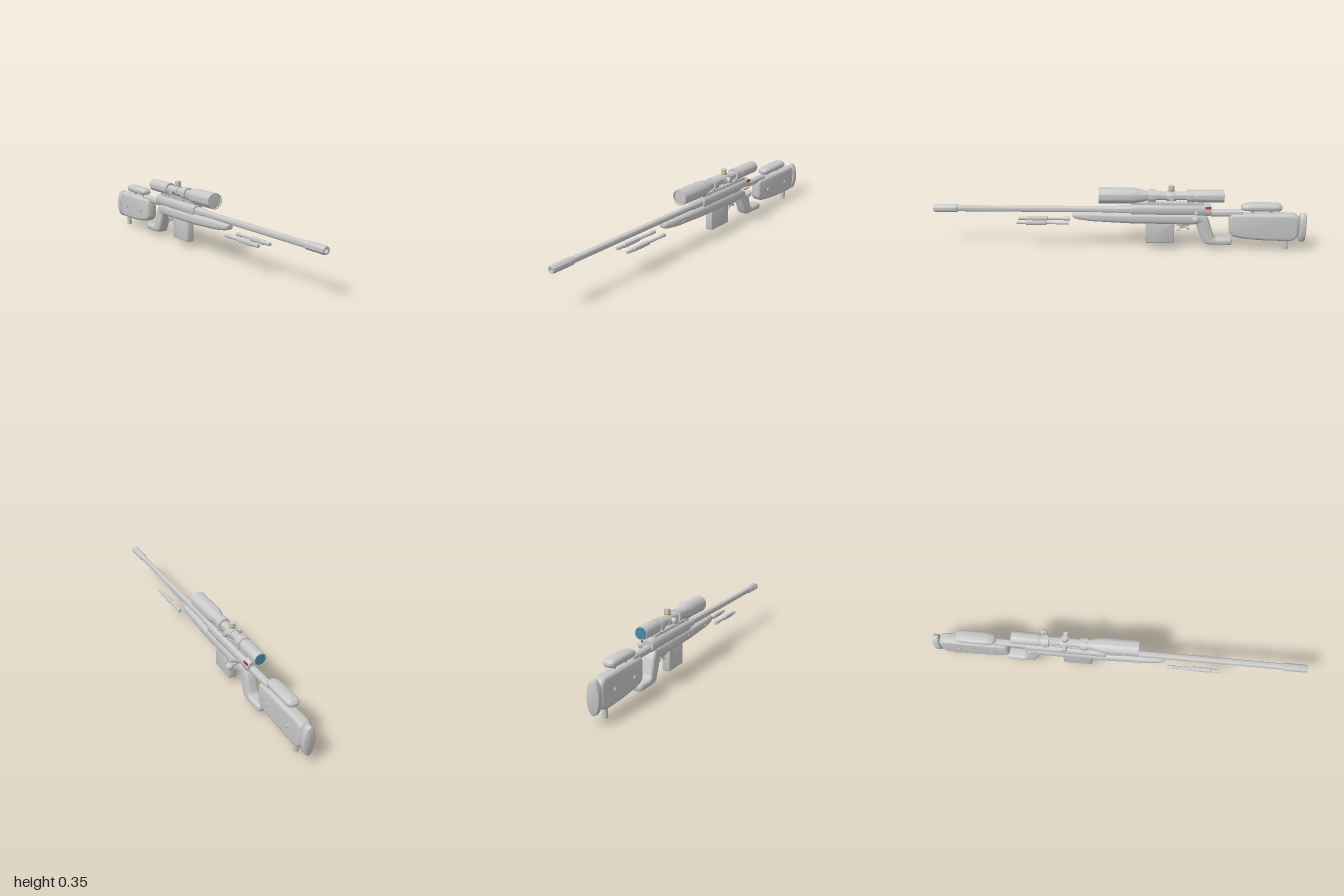
import * as THREE from 'three';
import { toCreasedNormals } from 'three/addons/utils/BufferGeometryUtils.js';

const CX = -0.026; // centre plane of the rifle

export function createModel() {
  const model = new THREE.Group();
  const mat = (name, color, side = THREE.FrontSide) => {
    const m = new THREE.MeshStandardMaterial({ color, side });
    m.name = name;
    return m;
  };
  const grey = mat('body grey', 0xc8c8c8);
  const teal = mat('lens teal', 0x4a8aa2);
  const red = mat('safety red', 0xc03a3a);
  const gold = mat('brass', 0xc8a850);

  const add = (name, geo, material = grey, x = 0, y = 0, z = 0) => {
    const mesh = new THREE.Mesh(toCreasedNormals(geo, 0.6), material);
    mesh.name = name;
    mesh.position.set(CX + x, y, z);
    model.add(mesh);
    return mesh;
  };

  // Turned part along z; profile is [radius, z] from back to front
  const turned = (name, profile, y, material = grey, x = 0) => {
    const geo = new THREE.LatheGeometry(profile.map(p => new THREE.Vector2(p[0], p[1])), 32);
    return add(name, geo.rotateX(Math.PI / 2), material, x, y);
  };

  // Side outline of [z, y, cornerRadius], extruded across x with rounded edges
  const slab = (name, pts, halfWidth, bevel, material = grey) => {
    const shape = new THREE.Shape();
    pts.forEach((p, i) => {
      const cur = new THREE.Vector2(p[0], p[1]);
      const step = q => {
        const d = new THREE.Vector2(q[0], q[1]).sub(cur);
        return cur.clone().addScaledVector(d.clone().normalize(), Math.min(p[2], d.length() * 0.48));
      };
      const a = step(pts[(i + pts.length - 1) % pts.length]);
      const b = step(pts[(i + 1) % pts.length]);
      if (i) shape.lineTo(a.x, a.y); else shape.moveTo(a.x, a.y);
      shape.quadraticCurveTo(cur.x, cur.y, b.x, b.y);
    });
    const depth = 2 * (halfWidth - bevel);
    const geo = new THREE.ExtrudeGeometry(shape, {
      depth, bevelEnabled: true, bevelSize: bevel, bevelThickness: bevel,
      bevelOffset: -bevel, bevelSegments: 5, curveSegments: 6,
    });
    return add(name, geo.translate(0, 0, -depth / 2).rotateY(-Math.PI / 2), material);
  };

  // Loft of rounded sections [z, bottom, top, halfWidth], front to back
  const loft = (name, sections, power = 3) => {
    const n = 28, pos = [], idx = [];
    const bend = v => Math.sign(v) * Math.pow(Math.abs(v), 2 / power);
    for (const [z, y0, y1, w] of sections)
      for (let j = 0; j < n; j++) {
        const t = (j / n) * Math.PI * 2;
        pos.push(w * bend(Math.cos(t)), (y0 + y1) / 2 + ((y1 - y0) / 2) * bend(Math.sin(t)), z);
      }
    const last = (sections.length - 1) * n;
    for (let i = 0; i < last; i += n)
      for (let j = 0; j < n; j++) {
        const k = (j + 1) % n;
        idx.push(i + j, i + n + j, i + k, i + k, i + n + j, i + n + k);
      }
    for (let j = 1; j < n - 1; j++) idx.push(0, j, j + 1, last, last + j + 1, last + j);
    const geo = new THREE.BufferGeometry();
    geo.setAttribute('position', new THREE.Float32BufferAttribute(pos, 3));
    geo.setIndex(idx);
    return add(name, geo);
  };

  const box = (name, w, h, d, x, y, z, material) =>
    add(name, new THREE.BoxGeometry(w, h, d), material, x, y, z);
  const pin = (name, r, len, x, y, z, material) => // cylinder across x
    add(name, new THREE.CylinderGeometry(r, r, len, 20).rotateZ(Math.PI / 2), material, x, y, z);
  const post = (name, r, len, y, z, material) => // upright cylinder
    add(name, new THREE.CylinderGeometry(r, r, len, 24), material, 0, y, z);

  // Barrel with muzzle brake and bore
  turned('barrel', [[0, -0.1], [0.023, -0.1], [0.023, 0.0], [0.0175, 0.03], [0.0165, 0.86], [0.0165, 0.87],
    [0.021, 0.875], [0.021, 0.99], [0.018, 1], [0.01, 1], [0.01, 0.95], [0, 0.95]], 0.218);
  for (const s of [-1, 1])
    for (const z of [0.9, 0.93, 0.96]) pin('muzzlePort', 0.006, 0.002, s * 0.0208, 0.218, z);

  // Receiver, tail tube and rail
  loft('receiver', [[-0.06, 0.19, 0.248, 0.029], [-0.065, 0.187, 0.252, 0.033],
    [-0.48, 0.187, 0.252, 0.033], [-0.49, 0.192, 0.246, 0.028]], 2.6);
  turned('tailTube', [[0, -0.66], [0.02, -0.66], [0.02, -0.49], [0, -0.49]], 0.203);
  box('rail', 0.036, 0.01, 0.385, 0, 0.253, -0.2575);
  for (let i = 0; i < 20; i++) box('railTooth', 0.04, 0.007, 0.01, 0, 0.2605, -0.07 - i * 0.0195);
  box('safety', 0.006, 0.012, 0.032, 0.032, 0.238, -0.473, red);

  // Bolt handle and knob
  const handle = add('boltHandle', new THREE.CylinderGeometry(0.008, 0.006, 0.062, 16), grey, 0.052, 0.215, -0.405);
  handle.rotation.z = -1.13;
  add('boltKnob', new THREE.SphereGeometry(0.019, 24, 16), grey, 0.081, 0.191, -0.403);
  pin('boltStem', 0.006, 0.04, 0.05, 0.2, -0.403);

  // Fore-end stock
  loft('foreEnd', [[0.252, 0.18, 0.196, 0.015], [0.245, 0.171, 0.201, 0.022], [0.22, 0.164, 0.204, 0.028],
    [0.15, 0.155, 0.205, 0.033], [-0.05, 0.145, 0.205, 0.036], [-0.38, 0.141, 0.205, 0.036],
    [-0.43, 0.143, 0.203, 0.034], [-0.46, 0.155, 0.198, 0.028]], 3.2);
  for (const s of [-1, 1])
    for (const z of [0.12, -0.1, -0.32]) pin('stockScrew', 0.006, 0.006, s * 0.035, 0.176, z);

  // Magazine
  slab('magazine', [[-0.14, 0.16, 0.004], [-0.295, 0.16, 0.004], [-0.295, 0.033, 0.006], [-0.14, 0.033, 0.006]], 0.023, 0.008);

  // Trigger group
  slab('triggerHousing', [[-0.3, 0.145, 0.003], [-0.38, 0.145, 0.003], [-0.375, 0.128, 0.003], [-0.31, 0.128, 0.003]], 0.012, 0.003);
  slab('trigger', [[-0.325, 0.13, 0.003], [-0.343, 0.13, 0.003], [-0.338, 0.116, 0.004], [-0.305, 0.104, 0.003],
    [-0.308, 0.098, 0.003], [-0.335, 0.104, 0.006]].reverse(), 0.006, 0.002);
  slab('triggerFinger', [[-0.34, 0.13, 0.002], [-0.35, 0.13, 0.002], [-0.378, 0.112, 0.002], [-0.372, 0.105, 0.002]], 0.006, 0.002);
  pin('triggerPin', 0.005, 0.02, 0, 0.122, -0.345, gold);

  // Pistol grip with rearward foot
  slab('pistolGrip', [[-0.39, 0.18, 0.02], [-0.41, 0.14, 0.02], [-0.435, 0.078, 0.03], [-0.458, 0.028, 0.03],
    [-0.607, 0.026, 0.012], [-0.607, 0.062, 0.012], [-0.51, 0.062, 0.02], [-0.48, 0.165, 0.03],
    [-0.455, 0.195, 0.02]], 0.031, 0.0145);

  // Butt stock, bolts, monopod, pad
  slab('buttStock', [[-0.588, 0.203, 0.03], [-0.588, 0.08, 0.035], [-0.66, 0.062, 0.05], [-0.78, 0.052, 0.05],
    [-0.955, 0.05, 0.045], [-0.966, 0.13, 0.06], [-0.96, 0.203, 0.045]], 0.031, 0.018);
  for (const z of [-0.68, -0.86]) pin('buttBolt', 0.009, 0.074, 0, 0.125, z);
  post('monopod', 0.0135, 0.07, 0.035, -0.898);
  const oval = new THREE.Shape().absellipse(0, 0, 0.032, 0.081, 0, Math.PI * 2, false, 0);
  add('buttPad', new THREE.ExtrudeGeometry(oval, { depth: 0.021, bevelSize: 0.007, bevelThickness: 0.007,
    bevelOffset: -0.007, bevelSegments: 4, curveSegments: 20 }), grey, 0, 0.123, -0.993);
  turned('padMount', [[0, -0.975], [0.02, -0.975], [0.02, -0.94], [0, -0.94]], 0.125);

  // Cheek rest on two posts
  loft('cheekRest', [[-0.65, 0.228, 0.243, 0.016], [-0.656, 0.222, 0.25, 0.024], [-0.67, 0.218, 0.256, 0.031],
    [-0.70, 0.217, 0.26, 0.034], [-0.83, 0.217, 0.26, 0.034], [-0.852, 0.218, 0.257, 0.031],
    [-0.862, 0.222, 0.25, 0.024], [-0.867, 0.228, 0.243, 0.016]], 2.6);
  for (const z of [-0.71, -0.81]) post('cheekPost', 0.009, 0.04, 0.21, z);

  // Scope body with recessed ends
  const SY = 0.297;
  turned('scopeBody', [[0, -0.549], [0.03, -0.549], [0.03, -0.556], [0.033, -0.556], [0.034, -0.545],
    [0.034, -0.42], [0.031, -0.405], [0.0235, -0.385], [0.0235, -0.16], [0.04, -0.09], [0.043, -0.07], [0.043, 0.11],
    [0.039, 0.11], [0.039, 0.098], [0, 0.098]], SY);
  turned('rearLens', [[0, -0.554], [0.0295, -0.554], [0.0295, -0.55], [0, -0.55]], SY, teal);
  turned('frontLens', [[0, 0.098], [0.0385, 0.098], [0.0385, 0.1], [0, 0.102]], SY);
  for (const z of [-0.175, -0.38]) {
    turned('scopeRing', [[0.0235, z - 0.02], [0.034, z - 0.02], [0.034, z + 0.02], [0.0235, z + 0.02]], SY);
    box('ringMount', 0.04, 0.03, 0.038, 0, 0.267, z);
    for (const s of [-1, 1]) pin('ringScrew', 0.007, 0.012, s * 0.024, 0.266, z);
  }

  // Adjustment turrets
  turned('turretCollar', [[0, -0.3], [0.027, -0.3], [0.029, -0.29], [0.029, -0.26], [0.027, -0.25], [0, -0.25]], SY);
  post('topTurret', 0.016, 0.05, 0.329, -0.275);
  post('topTurretBand', 0.0168, 0.005, 0.328, -0.275, gold);
  for (const s of [-1, 1]) pin('sideTurret', 0.015, 0.04, s * 0.0305, SY, -0.275);

  // Folded bipod legs
  for (const s of [-1, 1])
    turned('bipodLeg', [[0, 0.27], [0.01, 0.27], [0.01, 0.305], [0.008, 0.31], [0.008, 0.39], [0.0125, 0.395],
      [0.0125, 0.5], [0.009, 0.505], [0.009, 0.55], [0, 0.55]], 0.151, grey, s * 0.034);

  return model;
}
